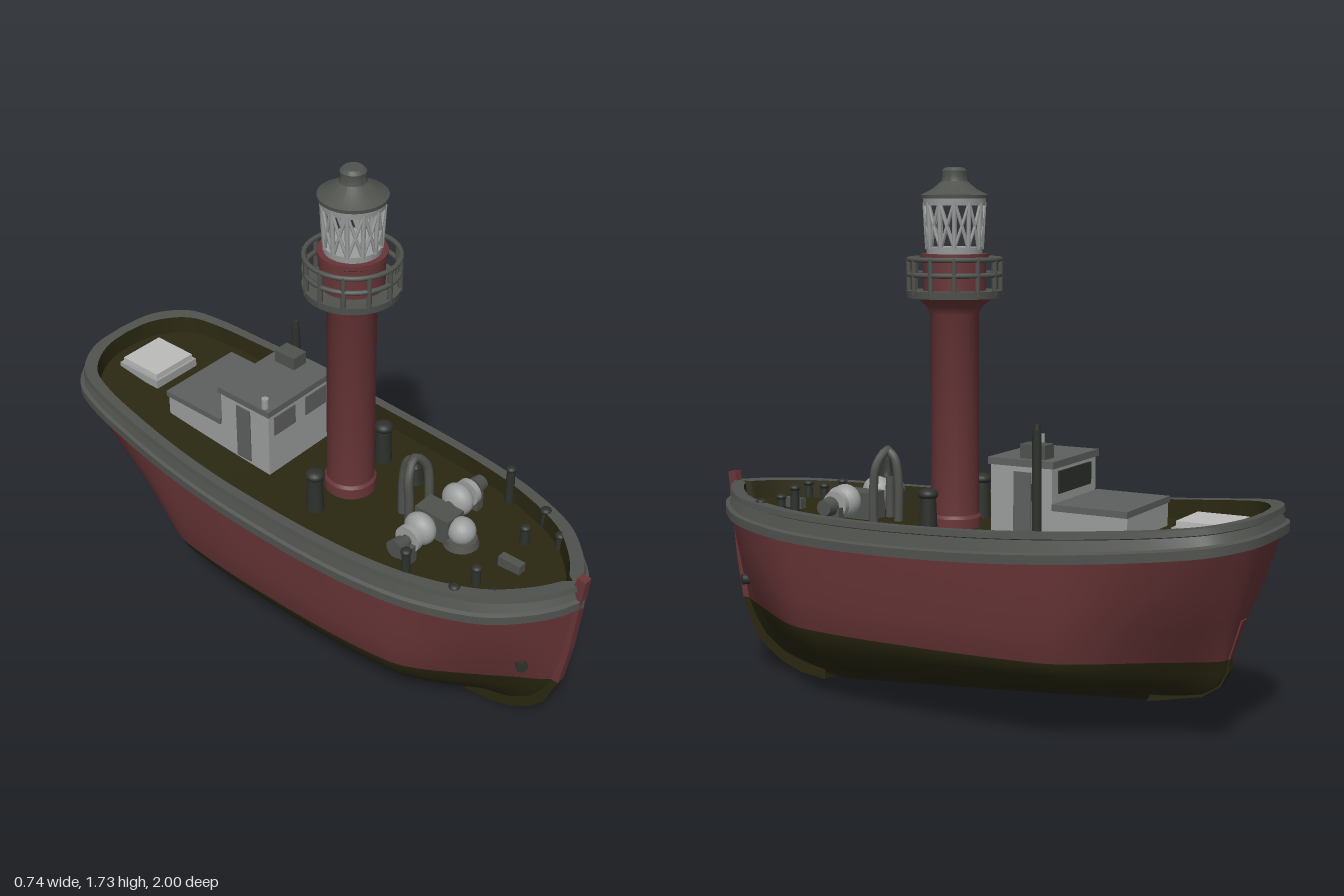
import * as THREE from 'three';
import { toCreasedNormals } from 'three/addons/utils/BufferGeometryUtils.js';

const mat = (name, color, side = THREE.FrontSide) => {
  const m = new THREE.MeshStandardMaterial({ color, side });
  m.name = name;
  return m;
};
const red = mat('hull red', 0x683537);
const olive = mat('dark olive', 0x2a2811);
const grey = mat('rail grey', 0x50524e);
const roofGrey = mat('cabin roof grey', 0x5e605f);
const pale = mat('pale grey', 0x9c9e9e);
const white = mat('hatch white', 0xbcbcba);
const dark = mat('dark metal', 0x2d302b);

const V = (x, y, z) => new THREE.Vector3(x, y, z);
const lerp = THREE.MathUtils.lerp, smooth = THREE.MathUtils.smoothstep;

// Half deck plan: (half beam, lengthwise position from stern -1 to bow 1)
const plan = new THREE.CatmullRomCurve3([
  [0, -1], [0.12, -0.99], [0.2, -0.955], [0.26, -0.9], [0.295, -0.8], [0.325, -0.6], [0.345, -0.4],
  [0.355, -0.2], [0.355, 0], [0.35, 0.2], [0.335, 0.4], [0.3, 0.6], [0.225, 0.8], [0.145, 0.9],
  [0.08, 0.955], [0, 1]].map(([x, z]) => V(x, 0, z)), false, 'centripetal').getPoints(75);

// Heights along the length
const keelY = z => 0.005 + 0.105 * THREE.MathUtils.clamp((0.6 - z) / 1.2, 0, 1);
const waterY = z => 0.265 - 0.015 * z;
const sheerY = z => 0.543 + 0.055 * (z - 0.4) ** 2 + 0.05 * Math.max(0, z - 0.4) ** 2;
const topY = z => 0.64 + 0.048 * (z - 0.4) ** 2 + 0.02 * Math.max(0, z - 0.4) ** 2;
const deckY = z => topY(z) - 0.06;

// One closed horizontal ring: w scales the beam, d insets it, fine narrows both ends
function ring(y, w = 1, zb = 0.98, zs = -0.98, fine = 0, d = 0) {
  const half = plan.map(p => {
    const z = lerp(zs + d, zb - d, (p.z + 1) / 2);
    const f = 1 - fine * (0.75 * smooth(-p.z, 0.45, 1) + 0.6 * smooth(p.z, 0.5, 1));
    const x = Math.max(0, p.x * w * f - d * Math.min(1, p.x / 0.05));
    return V(x, y(z), z);
  });
  return [...half, ...half.slice(1, -1).reverse().map(p => V(-p.x, p.y, p.z))];
}

// Skin over rings; rows from splitRow on use the second material
function loft(name, rings, mats, splitRow, crease) {
  const n = rings[0].length, idx = [];
  for (let r = 0; r < rings.length - 1; r++) for (let i = 0; i < n; i++) {
    const a = r * n + i, b = r * n + (i + 1) % n;
    idx.push(a, a + n, b + n, a, b + n, b);
  }
  let g = new THREE.BufferGeometry().setFromPoints(rings.flat());
  g.setIndex(idx);
  g.computeVertexNormals();
  if (crease) g = toCreasedNormals(g, crease);
  const cut = splitRow * n * 6;
  g.addGroup(0, cut, 0);
  g.addGroup(cut, idx.length - cut, 1);
  const m = new THREE.Mesh(g, mats);
  m.name = name;
  return m;
}

function add(parent, name, geo, material, x = 0, y = 0, z = 0) {
  const m = new THREE.Mesh(geo, material);
  m.name = name;
  m.position.set(x, y, z);
  parent.add(m);
  return m;
}
const box = (w, h, d) => new THREE.BoxGeometry(w, h, d);
const cyl = (r1, r2, h, n = 20) => new THREE.CylinderGeometry(r1, r2, h, n);
const ball = r => new THREE.SphereGeometry(r, 20, 14);
const tube = (pts, r) => new THREE.TubeGeometry(new THREE.CatmullRomCurve3(pts), 24, r, 8);
const lathe = pts => toCreasedNormals(
  new THREE.LatheGeometry(pts.map(p => new THREE.Vector2(...p)), 32), 0.6);
// Upright plate on the centre line, outlined as (z, y)
function plate(pts, t) {
  const s = new THREE.Shape(pts.map(p => new THREE.Vector2(...p)));
  return new THREE.ExtrudeGeometry(s, { depth: t, bevelEnabled: false })
    .translate(0, 0, -t / 2).rotateY(-Math.PI / 2);
}

function buildHull() {
  const g = new THREE.Group();
  g.name = 'hull';
  const low = t => z => lerp(keelY(z), waterY(z), t);
  const high = t => z => lerp(waterY(z), sheerY(z), t);
  g.add(loft('hullSkin', [
    ring(low(0), 0, 0.6, -0.6, 1), ring(low(0.02), 0.05, 0.63, -0.63, 1),
    ring(low(0.14), 0.15, 0.73, -0.73, 1), ring(low(0.3), 0.43, 0.81, -0.8, 1),
    ring(low(0.5), 0.69, 0.87, -0.84, 1), ring(low(0.75), 0.84, 0.91, -0.86, 0.95),
    ring(low(1), 0.91, 0.935, -0.865, 0.85), ring(high(0.33), 0.96, 0.955, -0.9, 0.5),
    ring(high(0.67), 0.985, 0.968, -0.945, 0.2), ring(high(1))], [olive, red], 6));

  // Bulwark with rubbing strake and capping; its inside is dark
  const band = [[sheerY, 0, 0], [sheerY, 0.002, -0.014], [sheerY, 0.03, -0.014], [sheerY, 0.036, -0.004],
    [topY, -0.022, 0.006], [topY, -0.018, -0.003], [topY, 0, 0], [topY, 0, 0.032], [deckY, 0, 0.036]];
  g.add(loft('bulwark', band.map(([f, dy, d]) => ring(z => f(z) + dy, 1, 0.98, -0.985, 0, d)),
    [grey, olive], 7, 0.6));
  g.add(loft('deck', [ring(deckY, 1, 0.98, -0.985, 0, 0.034), ring(deckY, 0, 0.98, -0.985, 0, 0.034)],
    [olive, olive], 0));

  // Stem, keel and stern post
  add(g, 'stemPost', plate([[0.91, 0.25], [0.945, 0.25], [0.97, 0.4], [0.985, 0.55], [1, 0.69],
    [0.97, 0.695], [0.95, 0.6]], 0.03), red);
  add(g, 'forefoot', plate([[0.945, 0.25], [0.88, 0.25], [0.6, 0.06], [0.6, 0], [0.7, 0.012], [0.78, 0.04],
    [0.85, 0.085], [0.9, 0.14]], 0.028), olive);
  add(g, 'sternPost', plate([[-0.6, 0.11], [-0.78, 0.15], [-0.84, 0.19], [-0.865, 0.24], [-0.865, 0.28],
    [-0.7, 0.28]], 0.035), olive);
  add(g, 'sternRidge', plate([[-0.75, 0.277], [-0.867, 0.277], [-0.905, 0.4], [-0.8, 0.42]], 0.035), red);
  for (const s of [-1, 1]) {
    const hawse = add(g, 'hawsePipe', cyl(0.018, 0.018, 0.036), dark, s * 0.1, 0.34, 0.86);
    hawse.quaternion.setFromUnitVectors(V(0, 1, 0), V(s * 0.75, 0, 0.66).normalize());
  }
  return g;
}

function buildTower() {
  const g = new THREE.Group();
  g.name = 'lightTower';
  g.position.set(0, 0, 0.088);
  add(g, 'towerShaft', lathe([[0.085, 0.56], [0.085, 0.62], [0.077, 0.63], [0.077, 1.27], [0.09, 1.295],
    [0.125, 1.325]]), red);
  add(g, 'galleryFloor', lathe([[0, 1.322], [0.15, 1.322], [0.152, 1.345], [0, 1.345]]), grey);
  add(g, 'lanternBase', lathe([[0.1, 1.34], [0.1, 1.44], [0.107, 1.445], [0.107, 1.46], [0, 1.46]]), red);
  for (const y of [1.395, 1.443])
    add(g, 'galleryRail', new THREE.TorusGeometry(0.145, 0.008, 8, 36).rotateX(Math.PI / 2), grey, 0, y, 0);
  for (let i = 0; i < 12; i++) {
    const a = i * Math.PI / 6;
    add(g, 'railPost', cyl(0.008, 0.008, 0.115, 8), grey, 0.145 * Math.sin(a), 1.39, 0.145 * Math.cos(a));
  }
  // Open lantern with a criss-cross lattice
  add(g, 'lanternSill', cyl(0.09, 0.088, 0.022, 32), pale, 0, 1.47, 0);
  add(g, 'lanternHead', cyl(0.1, 0.097, 0.025, 32), pale, 0, 1.622, 0);
  const at = (a, r, y) => V(r * Math.sin(a), y, r * Math.cos(a));
  for (let i = 0; i < 12; i++) for (const s of [-1, 0, 1]) {
    const a = i * Math.PI / 6;
    add(g, 'latticeBar', tube([at(a, 0.086, 1.475), at(a + s * 0.26, 0.09, 1.545), at(a + s * 0.52, 0.094, 1.62)],
      s ? 0.005 : 0.007), pale);
  }
  add(g, 'lanternRoof', lathe([[0, 1.632], [0.105, 1.632], [0.106, 1.643], [0.07, 1.662], [0.042, 1.685],
    [0.038, 1.7], [0.04, 1.718], [0.03, 1.728], [0, 1.73]]), grey);
  return g;
}

function buildCabin() {
  const g = new THREE.Group();
  g.name = 'deckhouse';
  add(g, 'wheelhouse', box(0.3, 0.26, 0.21), pale, 0, 0.7, -0.235);
  add(g, 'wheelhouseRoof', box(0.315, 0.022, 0.225), roofGrey, 0, 0.838, -0.235);
  add(g, 'rearWindow', box(0.22, 0.07, 0.006), dark, 0, 0.78, -0.342);
  for (const x of [-0.075, 0.075])
    add(g, 'frontWindow', box(0.1, 0.07, 0.006), roofGrey, x, 0.775, -0.129);
  for (const s of [-1, 1])
    add(g, 'sideDoor', box(0.006, 0.2, 0.06), roofGrey, s * 0.151, 0.71, -0.24);
  add(g, 'lowCabin', box(0.3, 0.13, 0.25), pale, 0, 0.645, -0.465);
  add(g, 'lowCabinRoof', box(0.315, 0.02, 0.25), roofGrey, 0, 0.71, -0.468);
  add(g, 'roofLocker', box(0.06, 0.05, 0.085), grey, 0.105, 0.868, -0.265);
  add(g, 'roofLamp', cyl(0.012, 0.012, 0.05, 12), pale, -0.142, 0.86, -0.15);
  add(g, 'stovePipe', cyl(0.014, 0.016, 0.36, 14), dark, 0.172, 0.765, -0.3);
  add(g, 'stovePipeCap', cyl(0.009, 0.012, 0.025, 14), dark, 0.172, 0.95, -0.3);
  add(g, 'sternHatch', box(0.17, 0.05, 0.165), white, -0.002, 0.669, -0.798);
  add(g, 'hatchCoaming', box(0.19, 0.03, 0.185), pale, -0.002, 0.66, -0.798);
  return g;
}

function buildDeckGear() {
  const g = new THREE.Group();
  g.name = 'deckGear';
  // Windlass
  add(g, 'windlassAxle', cyl(0.018, 0.018, 0.42).rotateZ(Math.PI / 2), grey, 0, 0.645, 0.45);
  add(g, 'windlassBody', box(0.08, 0.09, 0.13), grey, 0, 0.625, 0.45);
  add(g, 'windlassBall', ball(0.045), pale, 0, 0.63, 0.54);
  add(g, 'windlassFoot', cyl(0.05, 0.06, 0.03), grey, 0, 0.59, 0.54);
  for (const s of [-1, 1]) {
    add(g, 'windlassDrum', ball(0.055).scale(0.75, 1, 1), pale, s * 0.095, 0.65, 0.45);
    add(g, 'windlassDrumEnd', cyl(0.045, 0.045, 0.02).rotateZ(Math.PI / 2), pale, s * 0.15, 0.645, 0.45);
    add(g, 'warpingHead', cyl(0.032, 0.026, 0.04).rotateZ(Math.PI / 2), grey, s * 0.2, 0.645, 0.45);
    add(g, 'windlassStand', box(0.03, 0.07, 0.07), grey, s * 0.17, 0.605, 0.45);
    // Ventilators beside the tower
    add(g, 'ventPost', cyl(0.024, 0.03, 0.14), dark, s * 0.17, 0.65, 0.085);
    add(g, 'ventCap', ball(0.032).scale(1, 0.6, 1), dark, s * 0.17, 0.716, 0.085);
    // Mooring posts
    for (const [x, z, h] of [[0.235, 0.69, 0.06], [0.125, 0.69, 0.06], [0.17, 0.79, 0.05], [0.265, 0.53, 0.13]]) {
      add(g, 'bollard', cyl(0.013, 0.016, h, 12), dark, s * x, deckY(z) + h / 2, z);
      add(g, 'bollardCap', ball(0.018).scale(1, 0.6, 1), dark, s * x, deckY(z) + h, z);
    }
  }
  add(g, 'chainStopper', box(0.03, 0.04, 0.08), grey, 0, 0.6, 0.73);
  // Arched bell frame with a rear strut
  add(g, 'archFrame', tube([V(-0.05, 0.57, 0.37), V(-0.05, 0.68, 0.37), V(-0.045, 0.77, 0.36), V(0, 0.815, 0.345),
    V(0.045, 0.77, 0.36), V(0.05, 0.68, 0.37), V(0.05, 0.57, 0.37)], 0.015), grey);
  add(g, 'archStrut', tube([V(0, 0.815, 0.35), V(0, 0.79, 0.32), V(0, 0.72, 0.305), V(0, 0.57, 0.305)], 0.015), grey);
  add(g, 'bell', lathe([[0.03, 0.73], [0.024, 0.75], [0.018, 0.785], [0, 0.8]]), dark, 0, 0, 0.35);
  return g;
}

export function createModel() {
  const model = new THREE.Group();
  model.name = 'lightship';
  model.add(buildHull(), buildTower(), buildCabin(), buildDeckGear());
  return model;
}
